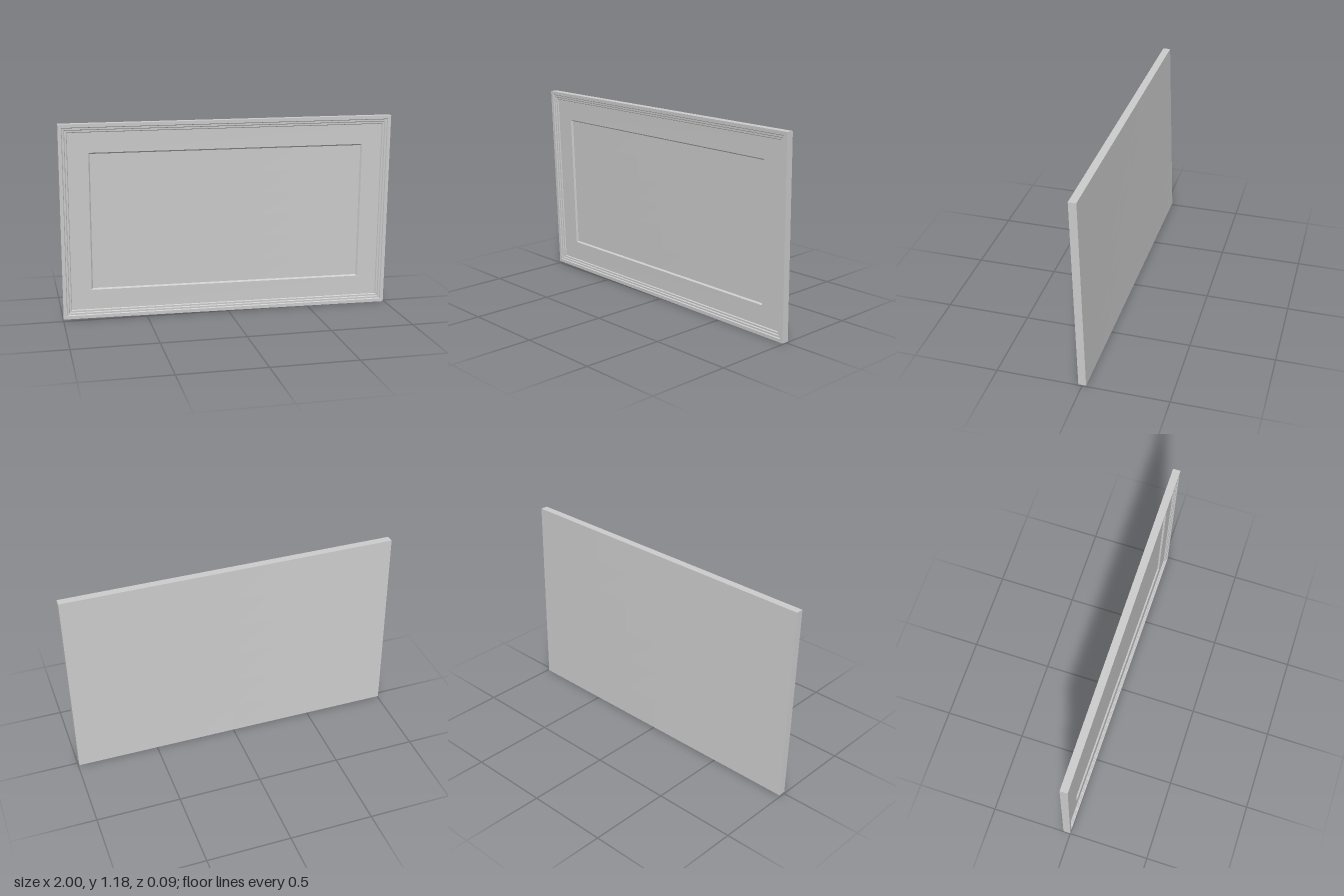
import * as THREE from 'three';

const THICK = 0.045;

// Corners of the back face of the slightly leaning, twisted frame.
const BL = new THREE.Vector3(-1, 0.012, -0.044), BR = new THREE.Vector3(0.993, 0, -0.022);
const TL = new THREE.Vector3(-1, 1.18, -0.004), TR = new THREE.Vector3(1, 1.18, 0);
const WIDTH = 2, HEIGHT = 1.175;

// Maps flat panel coordinates (x, y from the lower left corner, z up from the back) onto the twisted slab.
function place(x, y, z) {
  const u = x / WIDTH, v = y / HEIGHT;
  const p = BL.clone().lerp(BR, u).lerp(TL.clone().lerp(TR, u), v);
  p.z += z;
  return p;
}

// Four corners of a rectangle inset from the outer edge, at a depth below the front.
function loop([inset, depth]) {
  const z = THICK - depth, r = WIDTH - inset, t = HEIGHT - inset;
  return [[inset, inset], [r, inset], [r, t], [inset, t]].map(([x, y]) => place(x, y, z));
}

// Mitred rectangular moulding swept through the profile of [inset, depth] points.
function moulding(profile) {
  const points = [];
  const loops = profile.map(loop);
  for (let k = 0; k < loops.length - 1; k++) {
    const a = loops[k], b = loops[k + 1];
    for (let i = 0; i < 4; i++) {
      const j = (i + 1) % 4;
      points.push(a[i], a[j], b[j], a[i], b[j], b[i]);
    }
  }
  const geometry = new THREE.BufferGeometry().setFromPoints(points);
  geometry.computeVertexNormals();
  return geometry;
}

// Rectangular sheet following the twist, facing forward or backward.
function sheet(inset, depth, backward = false) {
  const geometry = new THREE.PlaneGeometry(WIDTH - 2 * inset, HEIGHT - 2 * inset, 8, 6);
  if (backward) geometry.rotateY(Math.PI);
  const pos = geometry.attributes.position;
  for (let i = 0; i < pos.count; i++) {
    const p = place(pos.getX(i) + WIDTH / 2, pos.getY(i) + HEIGHT / 2, THICK - depth);
    pos.setXYZ(i, p.x, p.y, p.z);
  }
  geometry.computeVertexNormals();
  return geometry;
}

export function createModel() {
  const group = new THREE.Group();
  group.name = 'pictureFrame';
  const material = new THREE.MeshStandardMaterial({ color: 0xcccccc, flatShading: true });
  const add = (name, geometry) => {
    const mesh = new THREE.Mesh(geometry, material);
    mesh.name = name;
    group.add(mesh);
  };

  // Outer sides and stepped border
  add('frameSides', moulding([[0, THICK], [0, 0]]));
  add('frameMoulding', moulding([
    [0, 0], [0.02, 0], [0.024, 0.006], [0.034, 0.006],
    [0.038, 0.012], [0.048, 0.012], [0.052, 0.018],
  ]));

  // Flat mount with a bevelled window edge
  add('mount', moulding([[0.052, 0.018], [0.172, 0.018]]));
  add('windowBevel', moulding([[0.172, 0.018], [0.18, 0.028]]));

  // Picture and backing
  add('picturePanel', sheet(0.18, 0.028));
  add('backPanel', sheet(0, THICK, true));
  return group;
}
